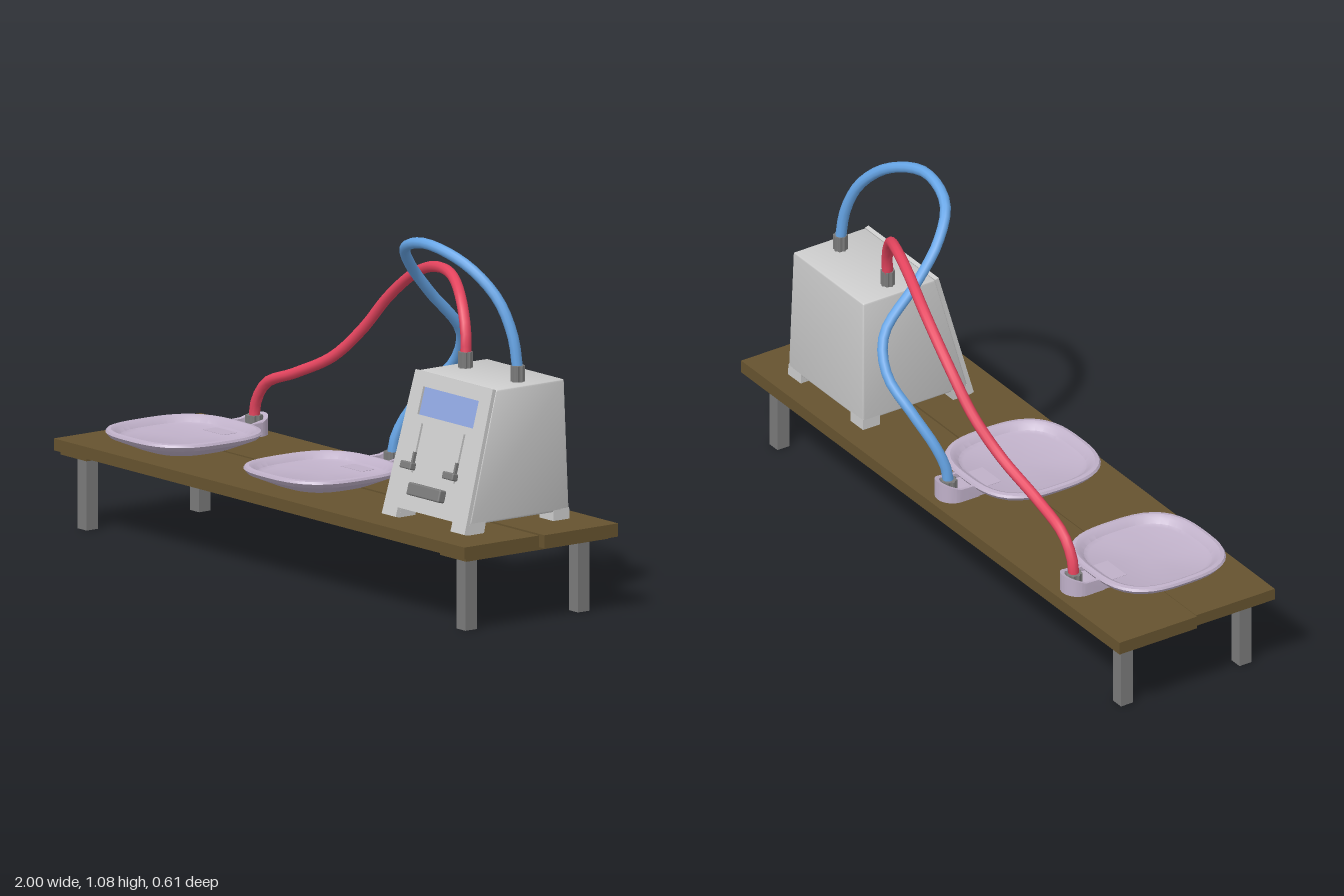
import * as THREE from 'three';
import { toCreasedNormals } from 'three/addons/utils/BufferGeometryUtils.js';
import { RoundedBoxGeometry } from 'three/addons/geometries/RoundedBoxGeometry.js';

const mat = (color) => new THREE.MeshStandardMaterial({ color });
const grey = mat(0xcccccc), dark = mat(0x7a7a7a), black = mat(0x585858);
const wood = mat(0x66532f), lilac = mat(0xbfb0c8), glass = mat(0x8fa6e0);
const red = mat(0xe6455f), blue = mat(0x66a5e6);

function add(parent, name, geometry, material, x = 0, y = 0, z = 0) {
  const mesh = new THREE.Mesh(geometry, material);
  mesh.name = name;
  mesh.position.set(x, y, z);
  parent.add(mesh);
  return mesh;
}

function group(parent, name, x = 0, y = 0, z = 0) {
  const g = new THREE.Group();
  g.name = name;
  g.position.set(x, y, z);
  parent.add(g);
  return g;
}

const box = (w, h, d) => new THREE.BoxGeometry(w, h, d);

// Move every vertex of a geometry by a rule
function warp(geometry, rule) {
  const p = geometry.attributes.position, v = new THREE.Vector3();
  for (let i = 0; i < p.count; i++) {
    rule(v.fromBufferAttribute(p, i));
    p.setXYZ(i, v.x, v.y, v.z);
  }
  return toCreasedNormals(geometry, 0.5);
}

// Upright ribbed plug for a hose end
function plug(radius, height) {
  const shape = new THREE.Shape();
  const n = 32;
  for (let i = 0; i < n; i++) {
    const r = i % 4 < 2 ? radius : radius * 0.86, a = (i / n) * Math.PI * 2;
    shape[i ? 'lineTo' : 'moveTo'](Math.cos(a) * r, Math.sin(a) * r);
  }
  return new THREE.ExtrudeGeometry(shape, { depth: height, bevelEnabled: false }).rotateX(-Math.PI / 2);
}

function rectPath(x0, y0, x1, y1) {
  return new THREE.Path([[x0, y0], [x1, y0], [x1, y1], [x0, y1]].map((p) => new THREE.Vector2(...p)));
}

function buildTable(root) {
  const table = group(root, 'table');
  add(table, 'backPlank', box(2, 0.04, 0.277), wood, 0, 0.249, -0.122);
  const front = add(table, 'frontPlank', box(1.975, 0.036, 0.28), wood, -0.003, 0.249, 0.163);
  front.rotation.y = -0.003;
  for (const s of [-1, 1]) {
    add(table, 'batten', box(0.125, 0.014, 0.535), wood, s * 0.91, 0.227, 0.022);
    for (const z of [0.237, -0.186]) add(table, 'leg', box(0.043, 0.23, 0.043), dark, s * 0.908, 0.115, z);
  }
}

// Rounded square dish with a socket behind it for the hose
function buildDish(root, x) {
  const dish = group(root, 'dish', x, 0.267, 0.066);
  const profile = [[0, 0], [0.13, 0], [0.2, 0.03], [0.21, 0.043], [0.206, 0.05], [0.195, 0.052],
    [0.183, 0.046], [0.172, 0.032], [0.16, 0.027], [0, 0.027]].map((p) => new THREE.Vector2(...p));
  const bowl = warp(new THREE.LatheGeometry(profile, 48), (v) => {
    const a = Math.atan2(v.z, v.x), n = 2.9;
    const k = (Math.abs(Math.cos(a)) ** n + Math.abs(Math.sin(a)) ** n) ** (-1 / n);
    v.x *= k;
    v.z *= k;
  });
  add(dish, 'bowl', bowl, lilac);

  const outline = (shape, r) => {
    shape.moveTo(r, 0.11);
    shape.lineTo(r, 0.25);
    shape.absarc(0, 0.25, r, 0, Math.PI, false);
    shape.lineTo(-r, 0.11);
    shape.closePath();
    return shape;
  };
  const extrude = (shape, depth) =>
    new THREE.ExtrudeGeometry(shape, { depth, bevelEnabled: false, curveSegments: 16 }).rotateX(-Math.PI / 2);
  add(dish, 'socketFloor', extrude(outline(new THREE.Shape(), 0.05), 0.024), lilac, 0, 0.004, 0);

  // Socket wall, rising towards the back
  const wall = new THREE.Shape();
  wall.moveTo(0.053, 0.19);
  wall.lineTo(0.053, 0.25);
  wall.absarc(0, 0.25, 0.053, 0, Math.PI, false);
  wall.lineTo(-0.053, 0.19);
  wall.lineTo(-0.04, 0.19);
  wall.lineTo(-0.04, 0.25);
  wall.absarc(0, 0.25, 0.04, Math.PI, 0, true);
  wall.lineTo(0.04, 0.19);
  const wallGeo = warp(extrude(wall, 0.04), (v) => {
    if (v.y > 0.02) v.y += Math.max(0, -v.z - 0.25) * 0.38;
  });
  add(dish, 'socketWall', wallGeo, lilac, 0, 0.004, 0);
  add(dish, 'hosePlug', plug(0.026, 0.035), dark, 0, 0.026, -0.264);
}

// Tapered control box on four corner feet with a sloping front panel
function buildConsole(root) {
  const cx = 0.6585, y0 = 0.267, height = 0.423, panel = 0.014;
  const unit = group(root, 'console', cx, y0, 0);
  const halfWidth = (h) => 0.1985 - 0.0307 * h;
  const frontZ = (h) => 0.207 - 0.2766 * h - panel;
  const backZ = (h) => -0.19 + 0.0236 * h;
  // x spans -1..1, z spans 0 (back) to 1 (front)
  const taper = (v) => {
    v.x *= halfWidth(v.y);
    v.z = backZ(v.y) + v.z * (frontZ(v.y) - backZ(v.y));
  };
  const bodyGeo = new RoundedBoxGeometry(0.4, height - 0.028, 0.4, 2, 0.006)
    .translate(0, (height + 0.028) / 2, 0);
  add(unit, 'body', warp(bodyGeo, (v) => {
    v.x /= 0.2;
    v.z = v.z / 0.4 + 0.5;
    taper(v);
  }), grey);
  for (const x of [-0.83, 0.83]) {
    for (const z of [0.08, 0.92]) {
      add(unit, 'foot', warp(box(0.34, 0.036, 0.16).translate(x, 0.018, z), taper), grey);
    }
  }

  // Front panel, built flat and leaned back
  const tilt = Math.atan(0.2766), c = Math.cos(tilt);
  const face = group(unit, 'frontPanel', 0, 0, 0.207 - panel);
  face.rotation.x = -tilt;
  const top = height / c, low = 0.028 / c;
  const w0 = 0.1985, w1 = 0.1855;
  const shape = new THREE.Shape([[-w0, 0], [-0.131, 0], [-0.131, low], [0.131, low], [0.131, 0],
    [w0, 0], [w1, top], [-w1, top]].map((p) => new THREE.Vector2(...p)));
  const s0 = 0.3 / c, s1 = 0.381 / c;
  shape.holes.push(rectPath(-0.133, s0, 0.133, s1));
  for (const x of [-0.101, 0.101]) shape.holes.push(rectPath(x - 0.004, 0.135 / c, x + 0.004, 0.278 / c));
  add(face, 'plate', new THREE.ExtrudeGeometry(shape, { depth: panel - 0.001, bevelEnabled: false }), grey);
  add(face, 'screen', box(0.266, s1 - s0, 0.006), glass, 0, (s0 + s1) / 2, 0.003);
  for (const x of [-0.101, 0.101]) {
    add(face, 'sliderSlot', box(0.008, 0.148, 0.003), black, x, 0.206 / c, 0.002);
    add(face, 'sliderStem', box(0.008, 0.045, 0.02), dark, x, 0.172 / c, 0.012);
    add(face, 'sliderKnob', new RoundedBoxGeometry(0.052, 0.022, 0.022, 2, 0.004), dark, x, 0.153 / c, 0.034);
  }
  add(face, 'handle', new RoundedBoxGeometry(0.155, 0.038, 0.026, 2, 0.005), dark, 0, 0.09 / c, 0.026);

  // Hose outlets on the top
  for (const x of [-0.126, 0.124]) add(unit, 'outlet', plug(0.022, 0.052), dark, x, height - 0.004, -0.053);
}

function buildHose(root, name, points, material) {
  const curve = new THREE.CatmullRomCurve3(points.map((p) => new THREE.Vector3(...p)));
  add(root, name, new THREE.TubeGeometry(curve, 48, 0.0165, 10, false), material);
}

export function createModel() {
  const root = new THREE.Group();
  root.name = 'hoseConsoleTable';
  buildTable(root);
  buildDish(root, -0.666);
  buildDish(root, -0.004);
  buildConsole(root);

  buildHose(root, 'redHose', [
    [-0.666, 0.3, -0.198], [-0.658, 0.365, -0.198], [-0.61, 0.432, -0.198], [-0.47, 0.487, -0.199],
    [-0.315, 0.56, -0.22], [-0.207, 0.658, -0.247], [-0.1, 0.77, -0.257], [0.064, 0.877, -0.237],
    [0.225, 0.925, -0.19], [0.358, 0.925, -0.142], [0.465, 0.877, -0.09], [0.522, 0.795, -0.062],
    [0.532, 0.72, -0.054],
  ], red);
  buildHose(root, 'blueHose', [
    [-0.003, 0.3, -0.198], [0.002, 0.36, -0.202], [0.025, 0.433, -0.225], [0.09, 0.53, -0.265],
    [0.18, 0.626, -0.293], [0.238, 0.727, -0.265], [0.25, 0.86, -0.14], [0.272, 0.957, -0.05],
    [0.34, 1.032, 0.022], [0.476, 1.066, 0.045], [0.626, 1.02, 0.012], [0.722, 0.93, -0.026],
    [0.768, 0.824, -0.046], [0.782, 0.72, -0.054],
  ], blue);
  return root;
}
